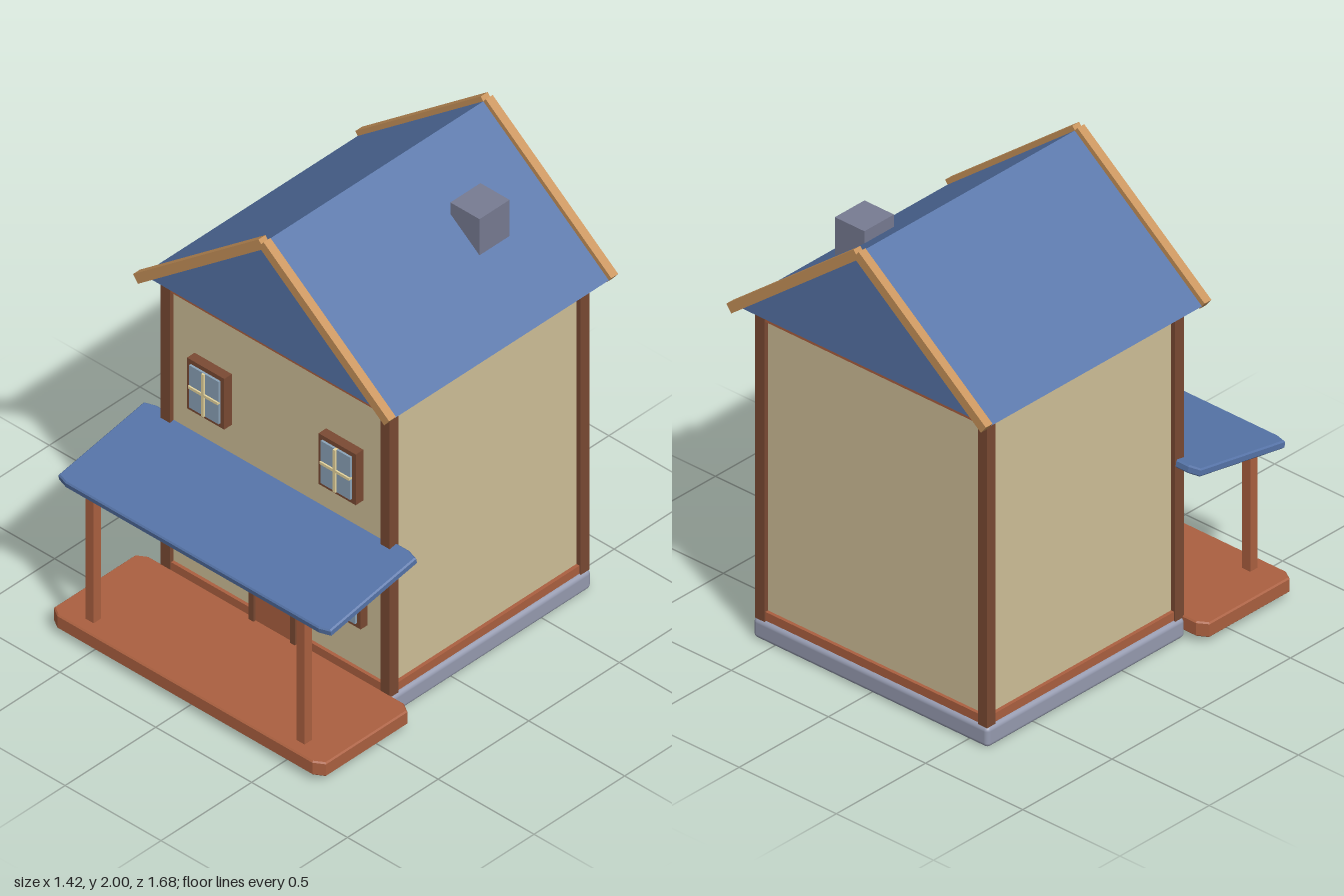
import * as THREE from 'three';
import { RoundedBoxGeometry } from 'three/addons/geometries/RoundedBoxGeometry.js';

const mat = (color) => new THREE.MeshStandardMaterial({ color });

export function createModel() {
  const house = new THREE.Group();
  house.name = 'house';

  const stone = mat(0x969bb0), wall = mat(0xcfbf98), darkWood = mat(0x7a4a33);
  const redWood = mat(0xab6040), blue = mat(0x5674a8), tan = mat(0xc8935a);
  const glass = mat(0x8ba3b8), cream = mat(0xe6d59e), brick = mat(0x777b92), gold = mat(0xcc9a3c);

  const add = (name, geometry, material, parent = house) => {
    const mesh = new THREE.Mesh(geometry, material);
    mesh.name = name;
    parent.add(mesh);
    return mesh;
  };
  // Box given by its limits on each axis
  const box = (name, material, x0, x1, y0, y1, z0, z1, parent) => {
    const mesh = add(name, new THREE.BoxGeometry(x1 - x0, y1 - y0, z1 - z0), material, parent);
    mesh.position.set((x0 + x1) / 2, (y0 + y1) / 2, (z0 + z1) / 2);
    return mesh;
  };
  // Flat slab with cut corners, centred on its own origin
  const slab = (w, d, h, cx, cz) => {
    const x = w / 2, z = d / 2;
    const shape = new THREE.Shape([
      [x, -z + cz], [x, z - cz], [x - cx, z], [-x + cx, z],
      [-x, z - cz], [-x, -z + cz], [-x + cx, -z], [x - cx, -z],
    ].map(([a, b]) => new THREE.Vector2(a, b)));
    const b = 0.006;
    return new THREE.ExtrudeGeometry(shape, {
      depth: h - 2 * b, bevelEnabled: true, bevelSegments: 1, bevelSize: b, bevelThickness: b, bevelOffset: -b,
    }).translate(0, 0, -h / 2 + b).rotateX(-Math.PI / 2);
  };

  // Foundation and walls
  add('foundation', new RoundedBoxGeometry(1.21, 0.09, 1.11, 3, 0.02), stone).position.set(0, 0.048, -0.212);
  box('walls', wall, -0.575, 0.575, 0.09, 1.455, -0.74, 0.32);

  // Corner posts and the beams between them
  for (const s of [-1, 1]) {
    for (const z of [0.317, -0.737]) {
      box('cornerPost', darkWood, s * 0.573 - 0.024, s * 0.573 + 0.024, 0.09, 1.457, z - 0.024, z + 0.024);
    }
  }
  for (const y of [0.113, 1.438]) {
    for (const z of [0.317, -0.737]) {
      box('crossBeam', redWood, -0.55, 0.55, y - 0.019, y + 0.019, z - 0.018, z + 0.018);
    }
    for (const x of [-0.573, 0.573]) {
      box('sideBeam', redWood, x - 0.018, x + 0.018, y - 0.019, y + 0.019, -0.715, 0.295);
    }
  }

  // Main roof: solid gabled prism
  const eave = 0.655, low = 1.475, ridge = 1.985;
  const gable = new THREE.Shape([
    new THREE.Vector2(-eave, low), new THREE.Vector2(eave, low), new THREE.Vector2(0, ridge),
  ]);
  add('roof', new THREE.ExtrudeGeometry(gable, { depth: 1.19, bevelEnabled: false }), blue).position.z = -0.81;

  // Boards along the gable edges
  const slope = Math.atan2(ridge - low, eave);
  for (const s of [-1, 1]) {
    for (const z of [0.4, -0.826]) {
      const board = add('gableBoard', new THREE.BoxGeometry(Math.hypot(eave, ridge - low), 0.042, 0.038), tan);
      board.position.set((s * eave) / 2, (low + ridge) / 2, z);
      board.rotation.z = -s * slope;
    }
  }
  box('chimney', brick, 0.23, 0.382, 1.457, 1.86, -0.548, -0.382);

  // Windows: frame with an opening, pane and glazing bars
  const addWindow = (x, y, z) => {
    const g = new THREE.Group();
    g.name = 'window';
    g.position.set(x, y, z);
    house.add(g);
    const w = 0.097, h = 0.121, t = 0.02;
    for (const s of [-1, 1]) {
      const cx = s * (w - t / 2), cy = s * (h - t / 2);
      box('windowFrameSide', darkWood, cx - t / 2, cx + t / 2, -h, h, -0.04, 0.02, g);
      box('windowFrameRail', darkWood, -w + t, w - t, cy - t / 2, cy + t / 2, -0.04, 0.02, g);
    }
    box('windowPane', glass, -w + t, w - t, -h + t, h - t, -0.04, 0.03, g);
    box('uprightBar', cream, -0.006, 0.006, -h + t, h - t, 0.02, 0.038, g);
    box('crossBar', cream, -w + t, w - t, -0.006, 0.006, 0.02, 0.037, g);
  };
  for (const s of [-1, 1]) {
    addWindow(s * 0.343, 1.06, 0.342);
    addWindow(s * 0.365, 0.476, 0.338);
  }

  // Door with a frame cut off at its top corners
  const frame = new THREE.Shape([
    [-0.12, 0.09], [-0.095, 0.09], [-0.095, 0.545], [0.095, 0.545], [0.095, 0.09],
    [0.12, 0.09], [0.12, 0.545], [0.1, 0.575], [-0.1, 0.575], [-0.12, 0.545],
  ].map(([x, y]) => new THREE.Vector2(x, y)));
  add('doorFrame', new THREE.ExtrudeGeometry(frame, { depth: 0.05, bevelEnabled: false }), darkWood).position.z = 0.31;
  box('door', redWood, -0.095, 0.095, 0.09, 0.545, 0.3, 0.348);
  add('doorKnob', new THREE.SphereGeometry(0.014, 16, 12), gold).position.set(0.062, 0.29, 0.363);

  // Porch deck, posts and sloping roof
  add('porchDeck', slab(1.42, 0.505, 0.066, 0.045, 0.028), redWood).position.set(0, 0.067, 0.587);
  for (const s of [-1, 1]) {
    box('porchPost', redWood, s * 0.55 - 0.021, s * 0.55 + 0.021, 0.09, 0.708, 0.742, 0.783);
  }
  const porchRoof = add('porchRoof', slab(1.42, 0.51, 0.034, 0.05, 0.015), blue);
  porchRoof.position.set(0, 0.745, 0.548);
  porchRoof.rotation.x = 0.178;

  return house;
}
